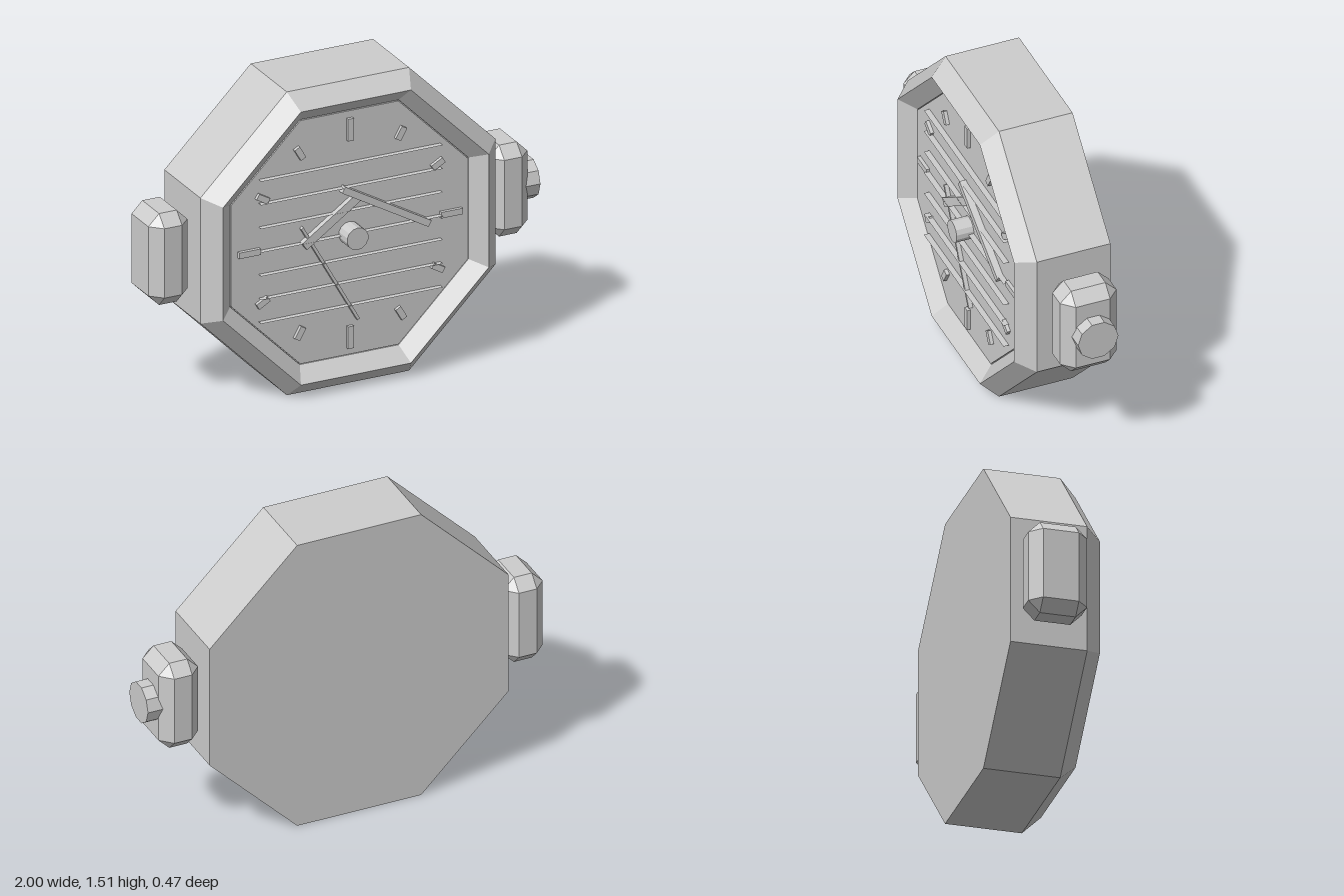
import * as THREE from 'three';
import { ConvexGeometry } from 'three/addons/geometries/ConvexGeometry.js';

const CX = -0.03, CY = 0.757;   // centre of the dial
const DIAL_Z = 0.15;

// Eight-sided solid of revolution about z; profile points are [apothem, z]
function octagon(profile) {
  const points = profile.map(([a, z]) => new THREE.Vector2(a / Math.cos(Math.PI / 8), z));
  return new THREE.LatheGeometry(points, 8, Math.PI / 8).rotateX(Math.PI / 2);
}

// Box with every edge cut at 45 degrees
function chamferedBox(w, h, d, c) {
  const points = [];
  for (const x of [-w / 2, w / 2]) for (const y of [-h / 2, h / 2]) for (const z of [-d / 2, d / 2]) {
    const cx = c * Math.sign(x), cy = c * Math.sign(y), cz = c * Math.sign(z);
    points.push(
      new THREE.Vector3(x, y - cy, z - cz),
      new THREE.Vector3(x - cx, y, z - cz),
      new THREE.Vector3(x - cx, y - cy, z));
  }
  return new ConvexGeometry(points);
}

export function createModel() {
  const model = new THREE.Group();
  model.name = 'clock';
  const grey = new THREE.MeshStandardMaterial({ color: 0xcccccc, flatShading: true });
  grey.name = 'grey';
  const sheetGrey = grey.clone();
  sheetGrey.name = 'sheet grey';
  sheetGrey.side = THREE.DoubleSide;

  const add = (name, geometry, x, y, z, parent = model, material = grey) => {
    const mesh = new THREE.Mesh(geometry, material);
    mesh.name = name;
    mesh.position.set(x, y, z);
    parent.add(mesh);
    return mesh;
  };

  // Case, bevelled bezel and recessed dial
  add('case', octagon([[0, -0.23], [0.755, -0.23], [0.755, 0.127], [0, 0.127]]), CX, CY, 0);
  add('bezel', octagon([[0.755, 0.127], [0.755, 0.135], [0.68, 0.217], [0.61, 0.148], [0.61, 0.127]]), CX, CY, 0);
  add('dial', octagon([[0.606, 0.127], [0.606, DIAL_Z], [0, DIAL_Z]]), CX, CY, 0);

  // Hour marks, longer at the quarters
  const marks = new THREE.Group();
  marks.name = 'hourMarks';
  model.add(marks);
  for (let i = 0; i < 12; i++) {
    const a = i * Math.PI / 6;
    const geometry = new THREE.BoxGeometry(0.03, i % 3 ? 0.065 : 0.11, 0.03);
    const mark = add('hourMark', geometry, CX + Math.sin(a) * 0.517, CY + Math.cos(a) * 0.517, 0.152, marks);
    mark.rotation.z = -a;
  }

  // Paper-thin ribs standing edge-on across the dial
  const ribs = new THREE.Group();
  ribs.name = 'dialRibs';
  model.add(ribs);
  for (let i = -3; i <= 3; i++) {
    const geometry = new THREE.PlaneGeometry(0.93, 0.028).rotateX(-Math.PI / 2);
    add('dialRib', geometry, CX, CY + i * 0.118, DIAL_Z + 0.014, ribs, sheetGrey);
  }

  // Hands: [name, x1, y1, x2, y2, width, front z]
  const hands = [
    ['secondHand', -0.28, 0.832, 0.008, 0.325, 0.014, 0.17],
    ['hourHand', -0.272, 0.742, 0.012, 0.94, 0.042, 0.177],
    ['minuteHand', -0.075, 0.988, 0.367, 0.735, 0.033, 0.183],
  ];
  for (const [name, x1, y1, x2, y2, width, front] of hands) {
    const depth = front - DIAL_Z + 0.005;
    const geometry = new THREE.BoxGeometry(Math.hypot(x2 - x1, y2 - y1), width, depth);
    const hand = add(name, geometry, (x1 + x2) / 2, (y1 + y2) / 2, front - depth / 2);
    hand.rotation.z = Math.atan2(y2 - y1, x2 - x1);
  }

  // Centre pin
  add('centrePin', new THREE.CylinderGeometry(0.055, 0.055, 0.095, 14).rotateX(Math.PI / 2), CX, CY, 0.1875);

  // Side lugs and the crown on the left one
  for (const [name, x] of [['rightLug', -0.9], ['leftLug', 0.84]]) {
    add(name, chamferedBox(0.2, 0.455, 0.28, 0.055), x, CY, -0.052);
  }
  const crown = new THREE.CylinderGeometry(0.1, 0.1, 0.11, 10).rotateZ(-Math.PI / 2);
  add('crown', crown, 0.945, CY, -0.053);

  return model;
}
